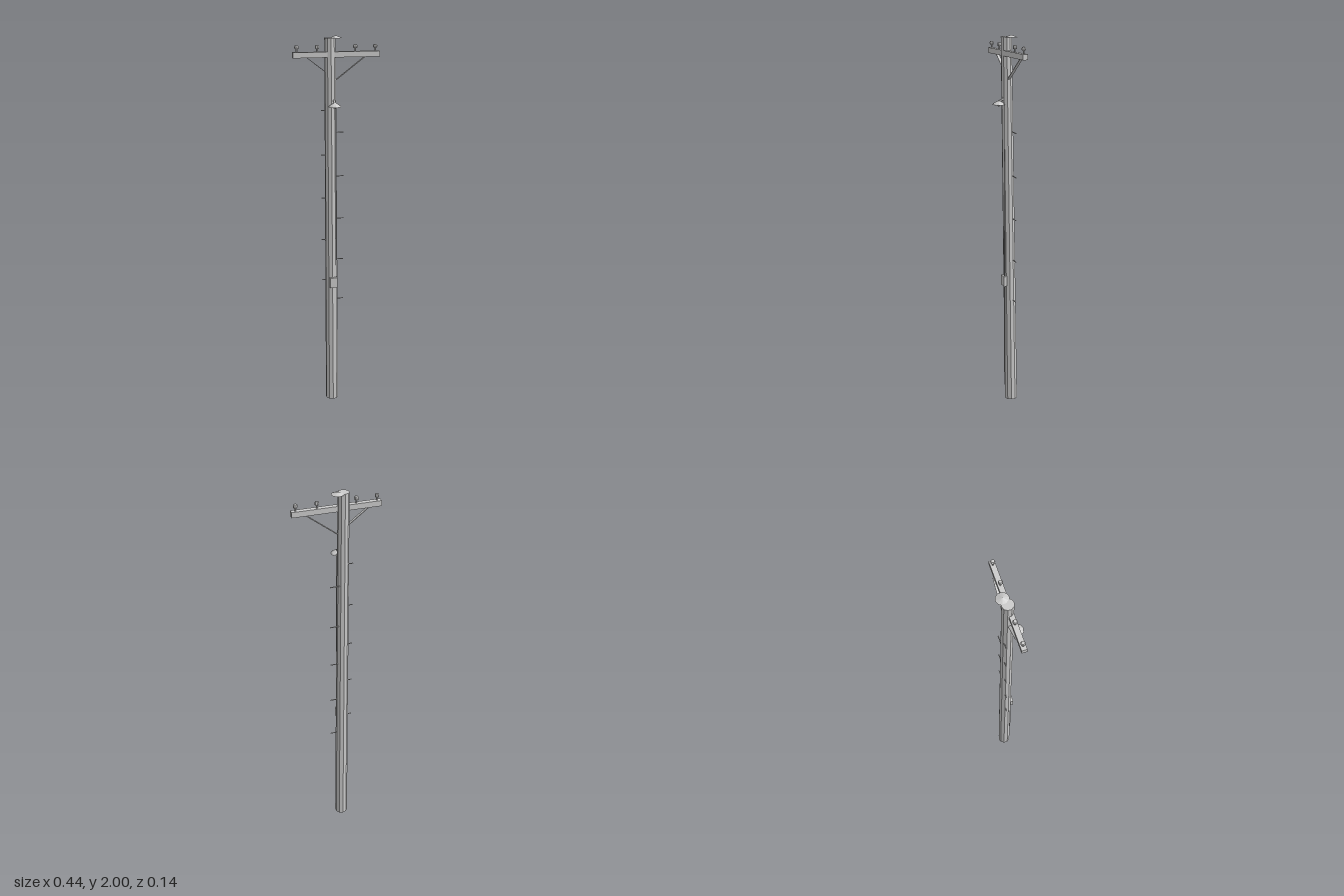
import * as THREE from 'three';

export function createModel() {
  const model = new THREE.Group();
  const mat = new THREE.MeshStandardMaterial({ color: 0xcccccc, flatShading: true, side: THREE.DoubleSide });
  const v = (x, y, z) => new THREE.Vector3(x, y, z);

  function add(name, geometry, x = 0, y = 0, z = 0, parent = model) {
    const mesh = new THREE.Mesh(geometry, mat);
    mesh.name = name;
    mesh.position.set(x, y, z);
    parent.add(mesh);
    return mesh;
  }

  // Turn a y-aligned mesh so that it spans two points
  function span(name, geometry, a, b) {
    const mid = a.clone().add(b).multiplyScalar(0.5);
    const mesh = add(name, geometry, mid.x, mid.y, mid.z);
    mesh.quaternion.setFromUnitVectors(v(0, 1, 0), b.clone().sub(a).normalize());
    return mesh;
  }

  // Tapered pole, sheared so that it leans while its ends stay level
  const foot = v(-0.018, 0, -0.034), head = v(-0.03, 1.99, -0.011);
  const poleGeo = new THREE.CylinderGeometry(0.028, 0.035, 1.99, 10);
  poleGeo.translate(0, 0.995, 0);
  const p = poleGeo.attributes.position;
  for (let i = 0; i < p.count; i++) {
    const c = foot.clone().lerp(head, p.getY(i) / 1.99);
    p.setXYZ(i, p.getX(i) + c.x, p.getY(i), p.getZ(i) + c.z);
  }
  poleGeo.computeVertexNormals();
  add('pole', poleGeo);

  // Shallow conical cap, set off-centre
  add('poleCap', new THREE.ConeGeometry(0.031, 0.012, 10), 0.002, 1.994, -0.024);

  // Crossarm with four insulators
  add('crossarm', new THREE.BoxGeometry(0.435, 0.027, 0.025), 0, 1.911, -0.002);
  const insulatorProfile = [
    [0, 0], [0.004, 0], [0.004, 0.016], [0.009, 0.016], [0.011, 0.021],
    [0.011, 0.027], [0.008, 0.033], [0, 0.034],
  ].map(([r, y]) => new THREE.Vector2(r, y));
  for (const x of [-0.197, -0.096, 0.095, 0.196]) {
    add('insulator', new THREE.LatheGeometry(insulatorProfile, 8), x, 1.924, -0.002);
  }

  // Flat diagonal braces under the crossarm
  for (const side of [-1, 1]) {
    const top = v(side * 0.149, 1.899, -0.012), low = v(0, 1.786, -0.012);
    span('brace', new THREE.BoxGeometry(0.003, top.distanceTo(low), 0.015), low, top);
  }

  // Lamp: bracket, shade and bulb
  const lamp = new THREE.Group();
  lamp.name = 'lamp';
  lamp.position.set(-0.015, 1.66, 0.037);
  model.add(lamp);
  const shadeProfile = [[0.032, 0], [0.027, 0.006], [0.014, 0.014], [0.006, 0.018], [0, 0.019]]
    .map(([r, y]) => new THREE.Vector2(r, y));
  add('lampShade', new THREE.LatheGeometry(shadeProfile, 10), 0, 0, 0, lamp);
  add('lampBulb', new THREE.SphereGeometry(0.009, 8, 6), 0, -0.001, 0, lamp);
  const arm = add('lampArm', new THREE.BoxGeometry(0.008, 0.008, 0.032), 0, 0.022, -0.014, lamp);
  arm.rotation.x = 0.4;

  // Junction box and the cable running down the front
  add('junctionBox', new THREE.BoxGeometry(0.04, 0.055, 0.02), -0.017, 0.712, 0.008);
  span('cable', new THREE.CylinderGeometry(0.002, 0.002, 1.5, 6), v(-0.004, 0.17, 0.011), v(-0.004, 1.67, 0.011));

  // Climbing pegs alternating left and right
  for (let i = 0; i < 10; i++) {
    const y = 0.6 + i * 0.1147;
    const outer = i % 2 ? -0.073 : 0.044;
    span('climbingPeg', new THREE.CylinderGeometry(0.0025, 0.0025, Math.abs(outer + 0.02), 6),
      v(-0.02, y, -0.034), v(outer, y, -0.034));
  }

  return model;
}
